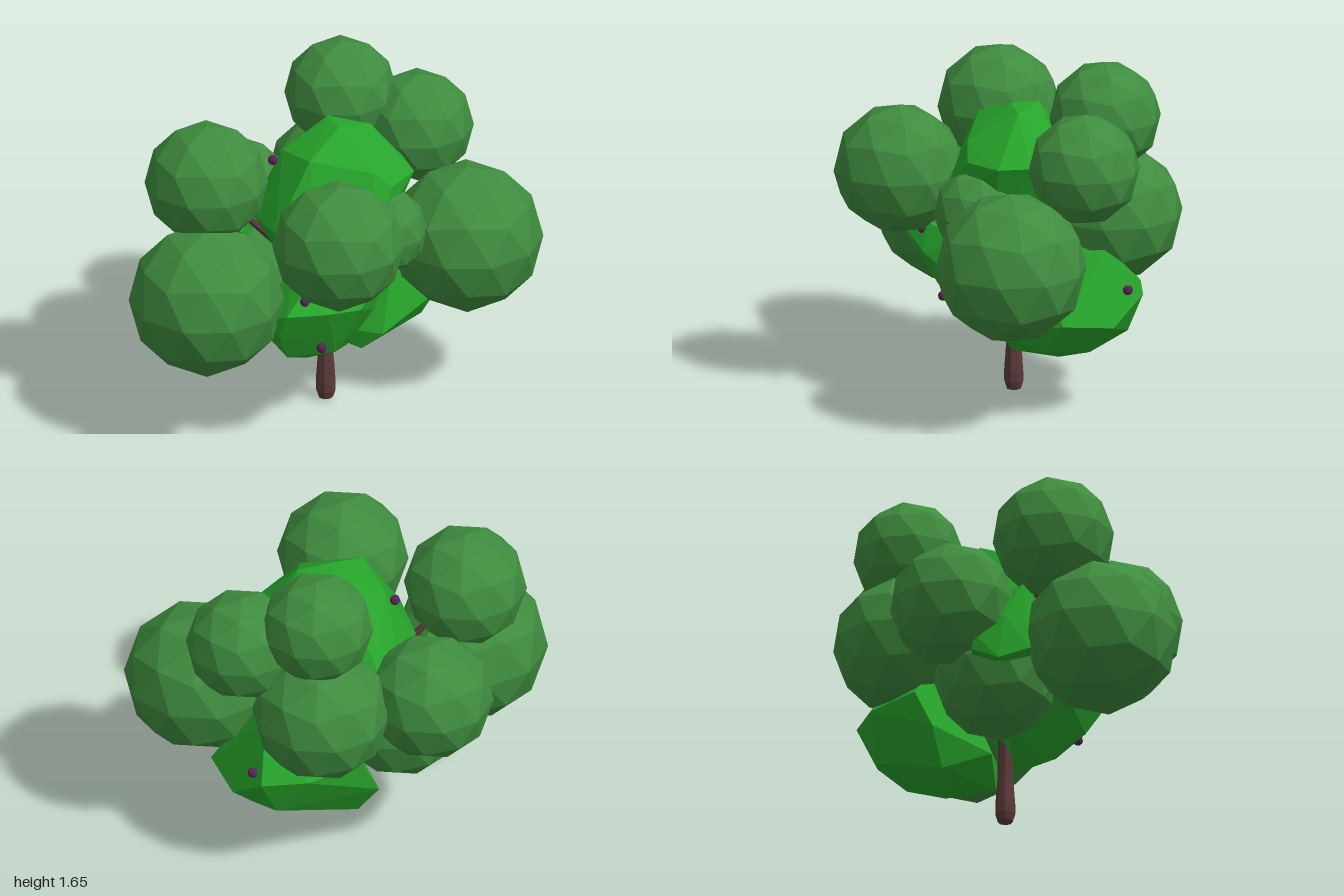
import * as THREE from 'three';
import { ConvexGeometry } from 'three/addons/geometries/ConvexGeometry.js';

const paint = (color) => new THREE.MeshStandardMaterial({ color, flatShading: true });
const V = (p) => new THREE.Vector3(...p);

export function createModel() {
  const tree = new THREE.Group();
  tree.name = 'tree';
  const bark = paint(0x5a3a38);
  const leaf = paint(0x3f8c3f);
  const brightLeaf = paint(0x27a52b);
  const purple = paint(0x5a2058);

  const add = (name, geometry, material, position = [0, 0, 0]) => {
    const mesh = new THREE.Mesh(geometry, material);
    mesh.name = name;
    mesh.position.set(...position);
    tree.add(mesh);
    return mesh;
  };

  // Round leaf clusters: x, y, z, radius
  const clusters = [
    [0, 0.725, 0.635, 0.365],
    [-0.18, 1.23, 0.5, 0.29],
    [0.485, 1.08, 0.225, 0.31],
    [-0.48, 0.91, 0.13, 0.3],
    [-0.295, 1.39, -0.375, 0.265],
    [-0.05, 1.235, -0.64, 0.265],
    [0.335, 0.805, -0.64, 0.36],
    [0.28, 0.95, -0.19, 0.21],
    [-0.34, 0.92, -0.38, 0.325],
    [-0.2, 0.63, 0.13, 0.3],
  ];
  // Icosphere with a vertex straight up
  const ball = new THREE.IcosahedronGeometry(1, 1);
  ball.rotateZ(-Math.atan(2 / (1 + Math.sqrt(5))));
  for (const [x, y, z, r] of clusters) add('leafCluster', ball, leaf, [x, y, z]).scale.setScalar(r);

  // Faceted inner foliage
  const lumps = {
    crownFoliage: [
      [0.12, 1.2, -0.43], [-0.08, 1.17, -0.41], [0.27, 1.2, -0.38], [0.34, 1.2, -0.2], [0.4, 1.0, -0.05],
      [0.3, 1.28, -0.12], [0.24, 1.05, 0.17], [0.12, 1.02, 0.32], [-0.13, 1.0, 0.26], [-0.3, 1.05, 0.06],
      [-0.36, 1.05, -0.08], [-0.07, 1.43, -0.13], [0.06, 1.43, -0.1], [0.1, 1.42, -0.25],
      [0.12, 1.34, 0.12], [-0.12, 1.3, 0.1], [0.1, 0.75, 0.2], [-0.15, 0.75, 0], [0.2, 0.75, -0.2],
    ],
    rightFoliage: [
      [0.34, 0.7, 0.42], [0.28, 0.58, 0.42], [0.2, 0.4, 0.31], [0.1, 0.3, 0.12], [0.12, 0.31, -0.1],
      [0.24, 0.37, 0.06], [0.2, 0.5, -0.2], [0.25, 0.7, -0.23], [0.37, 0.66, 0.2], [0.36, 0.62, 0],
      [0.3, 0.77, 0.3], [0.28, 0.76, -0.05], [0, 0.8, 0.1], [-0.1, 0.4, 0.1], [0, 0.55, 0.38], [0, 0.5, -0.15],
    ],
    backFoliage: [
      [-0.1, 0.21, -0.28], [0.1, 0.25, -0.2], [-0.29, 0.23, -0.15], [-0.4, 0.4, -0.1], [-0.42, 0.6, -0.2],
      [0.2, 0.35, -0.25], [0.2, 0.45, -0.5], [0.1, 0.33, -0.55], [-0.1, 0.32, -0.6], [-0.15, 0.47, -0.75],
      [0.1, 0.5, -0.72], [-0.33, 0.6, -0.7], [-0.42, 0.6, -0.5], [-0.3, 0.4, -0.6], [-0.2, 0.85, -0.6],
      [0.1, 0.8, -0.4], [-0.2, 0.85, -0.25], [-0.05, 0.35, -0.07],
    ],
    leftFoliage: [
      [-0.5, 0.63, 0.28], [-0.5, 0.7, 0.3], [-0.42, 0.58, 0.38], [-0.4, 0.8, 0.4], [-0.3, 0.98, 0.42],
      [-0.28, 0.65, 0.45], [-0.1, 0.95, 0.35], [-0.1, 0.6, 0.35], [-0.3, 0.95, 0.1], [-0.3, 0.6, 0.1],
    ],
  };
  for (const [name, points] of Object.entries(lumps)) add(name, new ConvexGeometry(points.map(V)), brightLeaf);

  // Trunk, flared at the foot
  const profile = [[0, 0.005], [0.035, 0.012], [0.047, 0.05], [0.047, 0.1], [0.036, 0.25], [0.034, 0.5], [0.025, 0.8], [0, 0.82]];
  add('trunk', new THREE.LatheGeometry(profile.map(([r, y]) => new THREE.Vector2(r, y)), 8), bark, [0.02, 0, -0.05]);

  // Branches from the trunk to each cluster
  const fork = V([0.02, 0.6, -0.05]);
  for (const [x, y, z] of clusters) {
    const reach = V([x, y, z]).sub(fork);
    const branch = add('branch', new THREE.CylinderGeometry(0.012, 0.024, reach.length(), 6), bark);
    branch.position.copy(fork).addScaledVector(reach, 0.5);
    branch.quaternion.setFromUnitVectors(V([0, 1, 0]), reach.normalize());
  }

  // Berries
  const berry = new THREE.IcosahedronGeometry(0.024, 1);
  const berries = [
    [0.28, 0.44, 0.17], [0.32, 0.74, 0.3], [0.28, 0.76, -0.1],
    [0.15, 1.0, 0.31], [-0.14, 1.25, 0.14], [-0.25, 0.63, -0.7],
  ];
  for (const p of berries) add('berry', berry, purple, p);

  return tree;
}
